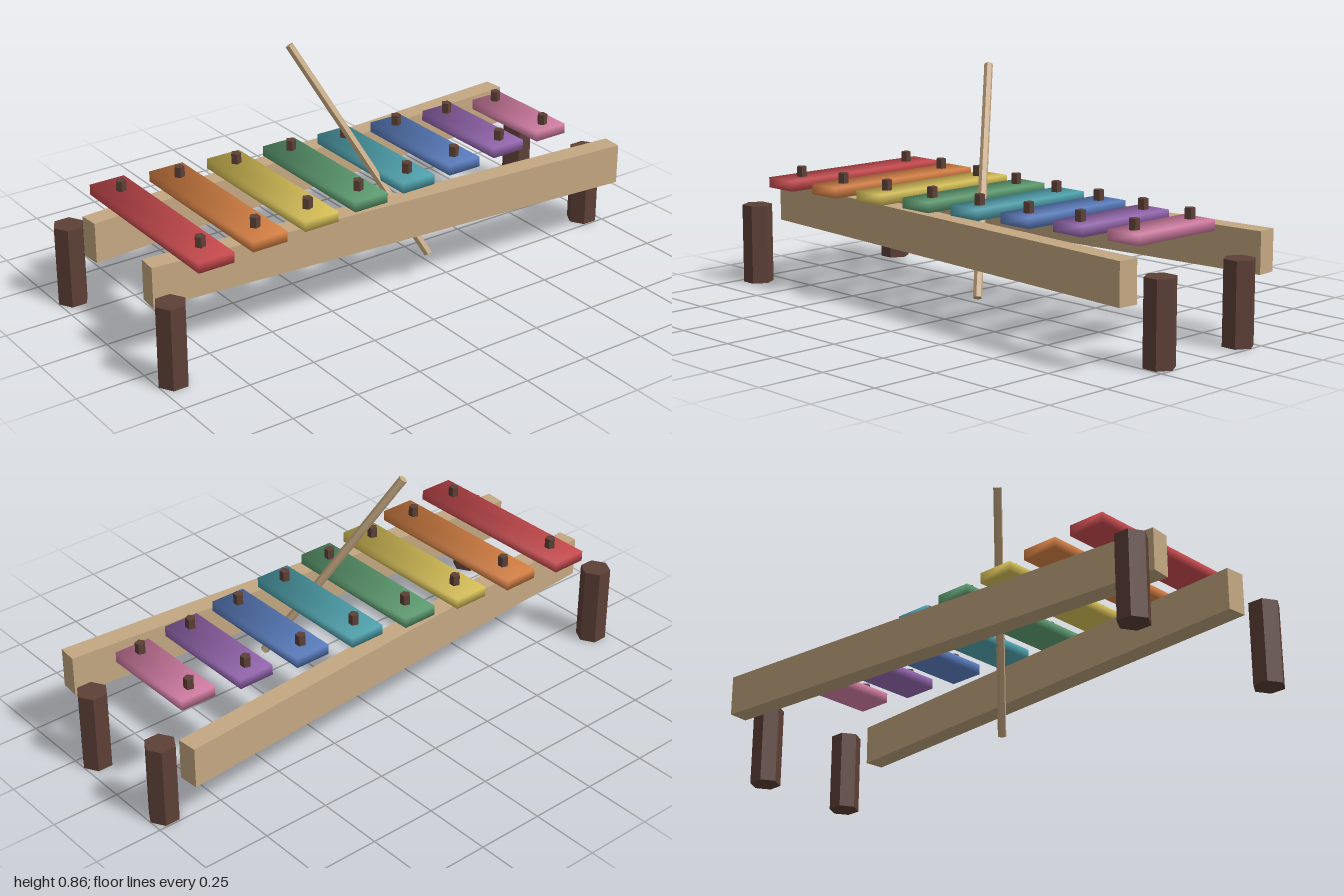
import * as THREE from 'three';

const material = (name, color) => {
  const m = new THREE.MeshStandardMaterial({ color });
  m.name = name;
  return m;
};

// Prism with flat sides
function prism(radius, height, sides) {
  const g = new THREE.CylinderGeometry(radius, radius, height, sides).toNonIndexed();
  g.computeVertexNormals();
  return g;
}

// Box whose corner normals are averaged, giving a soft, rounded look
function softBox(w, h, d) {
  const g = new THREE.BoxGeometry(w, h, d);
  const p = g.attributes.position, n = g.attributes.normal, k = 1 / Math.sqrt(3);
  for (let i = 0; i < p.count; i++) {
    n.setXYZ(i, Math.sign(p.getX(i)) * k, Math.sign(p.getY(i)) * k, Math.sign(p.getZ(i)) * k);
  }
  return g;
}

export function createModel() {
  const model = new THREE.Group();
  model.name = 'xylophone';
  const wood = material('light wood', 0xc4a882);
  const darkWood = material('dark wood', 0x5d4037);
  const barMaterials = [
    ['red', 0xcb4b4f], ['orange', 0xd98244], ['yellow', 0xd9c258], ['green', 0x5f9f73],
    ['teal', 0x50a5b1], ['blue', 0x5b7fc2], ['purple', 0x9768b2], ['pink', 0xd67fa6],
  ].map(([name, color]) => material(name, color));

  const add = (name, geometry, mat, x, y, z, parent = model) => {
    const mesh = new THREE.Mesh(geometry, mat);
    mesh.name = name;
    mesh.position.set(x, y, z);
    parent.add(mesh);
    return mesh;
  };

  // Slanted side rails and the four hexagonal legs
  const railGeometry = new THREE.BoxGeometry(0.074, 0.148, 1.888);
  const legGeometry = prism(0.056, 0.296, 6);
  for (const [side, s] of [['left', 1], ['right', -1]]) {
    add(side + 'Rail', railGeometry, wood, s * 0.269, 0.296, 0).rotation.y = -s * 0.0785;
    add(side + 'FrontLeg', legGeometry, darkWood, s * 0.343, 0.148, 0.944);
    add(side + 'BackLeg', legGeometry, darkWood, s * 0.196, 0.148, -0.944);
  }

  // Sound bars, shorter towards the back, each with two pegs
  const pegGeometry = prism(0.019, 0.038, 5);
  barMaterials.forEach((mat, i) => {
    const t = i / 7;
    const group = new THREE.Group();
    group.name = mat.name + 'Bar';
    group.position.z = 0.777 - 1.554 * t;
    const width = 0.72 - 0.344 * t;
    add('bar', softBox(width, 0.038, 0.135), mat, 0, 0.394, 0, group);
    for (const s of [-1, 1]) {
      add('peg', pegGeometry, darkWood, s * (0.259 - 0.122 * t), 0.432, 0, group);
    }
    model.add(group);
  });

  // Mallet stick leaning through the bars
  const top = new THREE.Vector3(-0.123, 0.852, 0.168);
  const bottom = new THREE.Vector3(0.25, 0.104, -0.165);
  const axis = top.clone().sub(bottom);
  const stick = add('malletStick', prism(0.016, axis.length(), 6), wood, 0, 0, 0);
  stick.position.copy(top).add(bottom).multiplyScalar(0.5);
  stick.quaternion.setFromUnitVectors(new THREE.Vector3(0, 1, 0), axis.normalize());

  return model;
}
